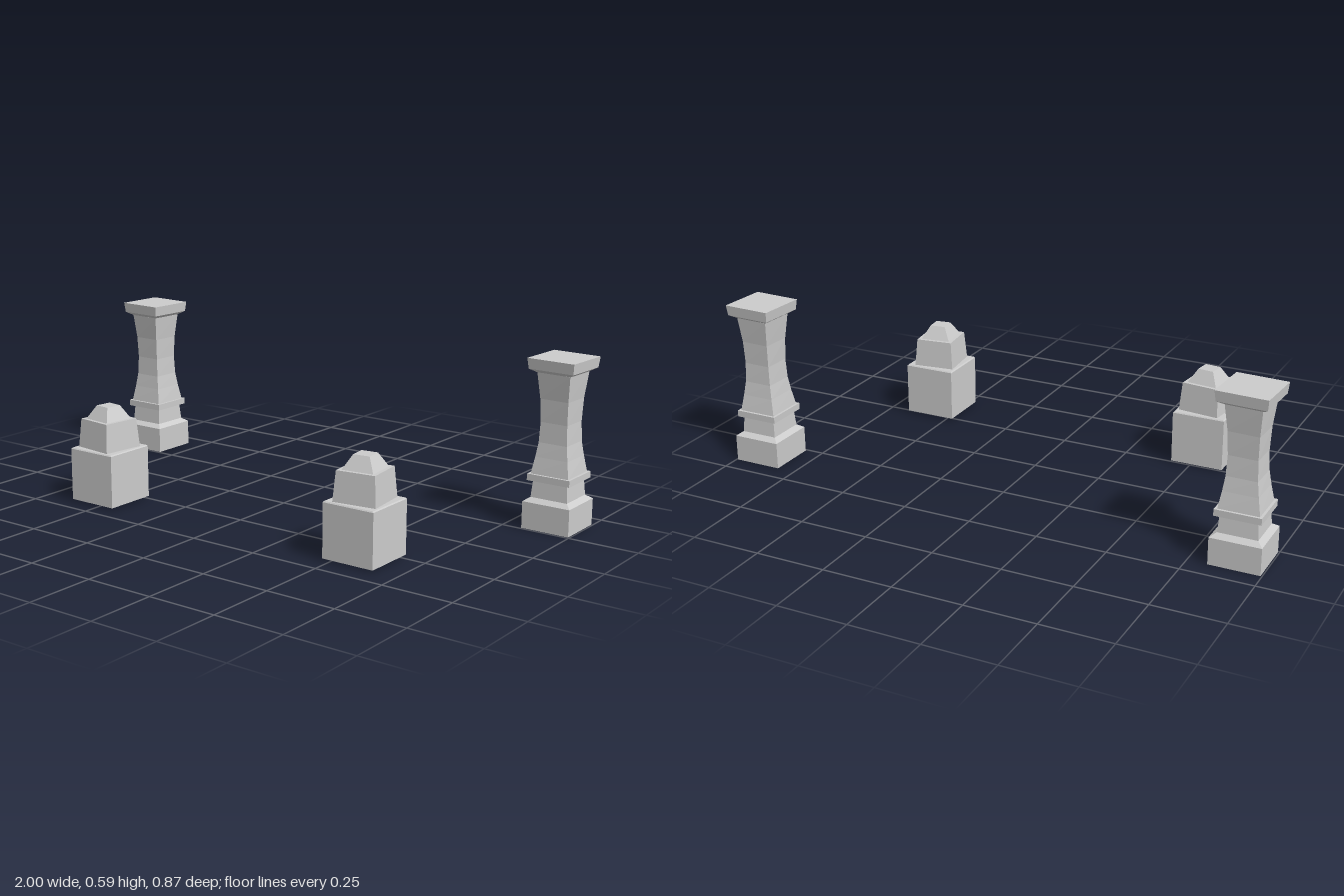
import * as THREE from 'three';

const material = new THREE.MeshStandardMaterial({
  color: 0xcccccc, flatShading: true, side: THREE.DoubleSide,
});

// Square loft: each ring is [y, half width, turn about y].
function squareLoft(name, rings, capBottom = true) {
  const corners = [[1, 1], [1, -1], [-1, -1], [-1, 1]];
  const positions = [];
  const index = [];
  for (const [y, half, turn = 0] of rings) {
    const c = Math.cos(turn), s = Math.sin(turn);
    for (const [x, z] of corners) {
      positions.push(half * (x * c + z * s), y, half * (z * c - x * s));
    }
  }
  for (let r = 0; r < rings.length - 1; r++) {
    for (let i = 0; i < 4; i++) {
      const a = r * 4 + i, b = r * 4 + (i + 1) % 4;
      index.push(a, b, b + 4, a, b + 4, a + 4);
    }
  }
  const t = (rings.length - 1) * 4;
  index.push(t, t + 1, t + 2, t, t + 2, t + 3);
  if (capBottom) index.push(0, 2, 1, 0, 3, 2);

  const geometry = new THREE.BufferGeometry();
  geometry.setAttribute('position', new THREE.Float32BufferAttribute(positions, 3));
  geometry.setIndex(index);
  const flat = geometry.toNonIndexed();
  flat.computeVertexNormals();
  const mesh = new THREE.Mesh(flat, material);
  mesh.name = name;
  return mesh;
}

// Tall waisted column, its shaft and capital turned slightly out of square.
function makeColumn(name) {
  const column = new THREE.Group();
  column.name = name;
  column.add(
    squareLoft('plinth', [[0, 0.088], [0.095, 0.088], [0.109, 0.068]]),
    squareLoft('pedestal', [[0.109, 0.068], [0.17, 0.063]]),
    squareLoft('collar', [[0.169, 0.079], [0.192, 0.079]]),
    squareLoft('shaft', [
      [0.192, 0.07, 0], [0.25, 0.06, -0.01], [0.3, 0.053, -0.02],
      [0.37, 0.05, -0.03], [0.45, 0.053, -0.045], [0.54, 0.0625, -0.06],
    ]),
    squareLoft('capital', [
      [0.54, 0.0625, -0.05], [0.553, 0.084, -0.05], [0.59, 0.088, -0.05],
    ]),
  );
  return column;
}

// Short post: open-bottomed block with a turned, stepped top.
function makePost(name, turn) {
  const post = new THREE.Group();
  post.name = name;
  post.add(
    squareLoft('block', [[0.007, 0.0965], [0.195, 0.0965], [0.199, 0.093]], false),
    squareLoft('neck', [[0.197, 0.077, turn], [0.302, 0.069, turn]]),
    squareLoft('finial', [[0.302, 0.056, turn], [0.35, 0.029, turn]]),
  );
  return post;
}

export function createModel() {
  const model = new THREE.Group();
  model.name = 'columnsAndPosts';

  for (const [side, name] of [[1, 'leftColumn'], [-1, 'rightColumn']]) {
    const column = makeColumn(name);
    column.position.set(side * 0.907, 0, -0.345);
    model.add(column);
  }

  const leftPost = makePost('leftPost', 0.12);
  leftPost.position.set(0.57, 0, 0.329);
  const rightPost = makePost('rightPost', -0.12);
  rightPost.position.set(-0.527, 0, 0.34);
  model.add(leftPost, rightPost);

  return model;
}
